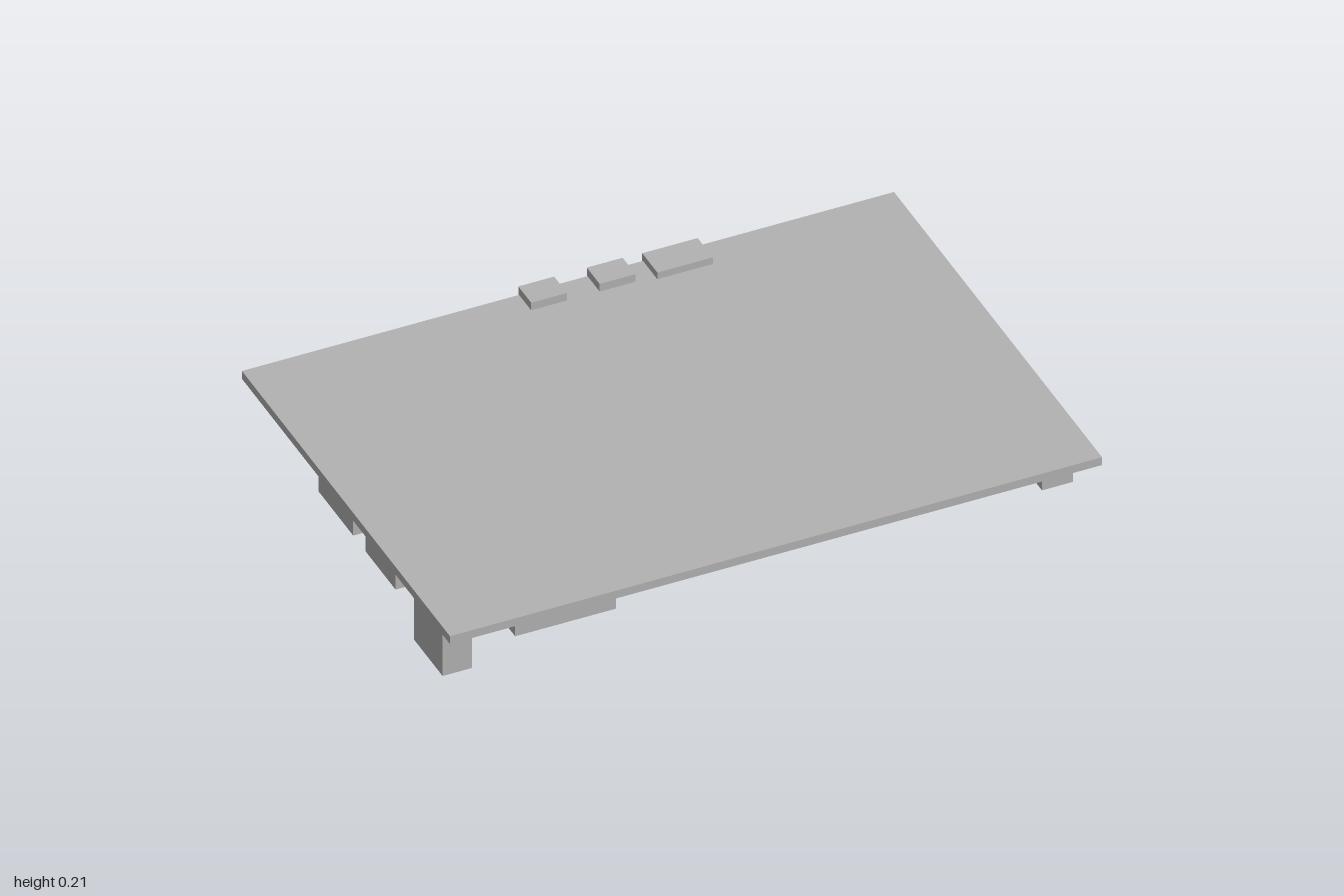
import * as THREE from 'three';

const UNDER = 0.16; // underside of the board

export function createModel() {
  const model = new THREE.Group();
  model.name = 'circuitBoard';
  const grey = new THREE.MeshStandardMaterial({ color: 0xb2b2b2 });
  grey.name = 'plain grey';

  // Box from its x, y and z limits
  const box = (name, x0, x1, y0, y1, z0, z1, parent = model) => {
    const mesh = new THREE.Mesh(new THREE.BoxGeometry(x1 - x0, y1 - y0, z1 - z0), grey);
    mesh.position.set((x0 + x1) / 2, (y0 + y1) / 2, (z0 + z1) / 2);
    mesh.name = name;
    parent.add(mesh);
    return mesh;
  };
  // Part hanging below the board, down to y0
  const hang = (name, x0, x1, y0, z0, z1, parent) => box(name, x0, x1, y0, UNDER, z0, z1, parent);
  const group = (name) => {
    const g = new THREE.Group();
    g.name = name;
    model.add(g);
    return g;
  };

  box('board', -1, 1, UNDER, 0.187, -0.685, 0.69);

  // Sockets through the back edge
  box('backSocketRight', -0.15, -0.04, 0.095, 0.213, -0.69, -0.605);
  box('backSocketMiddle', 0.06, 0.17, 0.095, 0.213, -0.69, -0.605);
  box('backSocketLeft', 0.23, 0.4, 0.092, 0.21, -0.69, -0.59);

  // Tall connector row along the left edge
  const row = group('sideConnectorRow');
  hang('endSocket', 0.89, 0.985, 0, 0.378, 0.53, row);
  [[0.26, 0.372], [0.07, 0.257], [-0.045, 0.068]].forEach(([a, b]) =>
    hang('tallSocket', 0.89, 0.982, 0, a, b, row));
  hang('squareSocket', 0.8, 0.97, 0.05, -0.245, -0.07);

  // Connectors along the right edge
  hang('cornerSocket', -0.99, -0.9, 0, 0.43, 0.62);
  [[-0.19, 0.04], [0.12, 0.32]].forEach(([a, b]) => {
    const g = group('sidePlug');
    hang('plugBody', -0.995, -0.85, 0.1, a, b, g);
    for (let i = 0; i < 4; i++) {
      const z = a + (b - a) * (i + 0.5) / 4;
      hang('plugPin', -0.85, -0.815, 0.14, z - 0.012, z + 0.012, g);
    }
  });

  // Flat modules
  hang('frontModule', -0.8, -0.49, 0.125, 0.38, 0.69);
  hang('cardSlot', -0.955, -0.635, 0.103, -0.55, -0.245);
  hang('cardTray', -0.955, -0.62, 0.137, -0.69, -0.55);

  // Long mezzanine connector with a recessed centre
  const mezz = group('mezzanineConnector');
  hang('mezzanineBase', -0.27, 0.32, 0.145, -0.25, -0.16, mezz);
  hang('mezzanineWall', -0.27, 0.32, 0.12, -0.25, -0.232, mezz);
  hang('mezzanineWall', -0.27, 0.32, 0.12, -0.178, -0.16, mezz);
  hang('mezzanineEnd', -0.29, -0.255, 0.118, -0.255, -0.155, mezz);
  hang('mezzanineEnd', 0.305, 0.335, 0.118, -0.255, -0.155, mezz);

  // Two comb-like pin headers
  [0.85, 0.635].forEach((cx) => {
    const g = group('pinHeader');
    hang('headerBar', cx - 0.09, cx + 0.09, 0.145, -0.545, -0.52, g);
    for (let i = 0; i < 4; i++) {
      const x = cx - 0.072 + i * 0.048;
      box('headerPin', x - 0.009, x + 0.009, 0.135, 0.15, -0.65, -0.52, g);
      hang('headerFoot', x - 0.009, x + 0.009, 0.135, -0.54, -0.525, g);
    }
  });

  // Chips: x, z, width, depth, height
  const chips = [
    [0.46, -0.44, 0.1, 0.09, 0.035], [0.09, 0.41, 0.11, 0.08, 0.035],
    [-0.12, -0.42, 0.06, 0.06, 0.03], [-0.26, -0.56, 0.1, 0.08, 0.035],
    [-0.25, -0.44, 0.1, 0.07, 0.03], [0.77, 0.2, 0.08, 0.08, 0.04],
    [0.61, 0.33, 0.08, 0.08, 0.04], [0.55, 0.13, 0.09, 0.09, 0.04],
    [0.54, -0.06, 0.1, 0.09, 0.045], [0.46, 0.31, 0.08, 0.07, 0.04],
    [0.69, 0.06, 0.08, 0.08, 0.045], [0.7, 0.42, 0.08, 0.08, 0.035],
    [-0.59, 0.14, 0.08, 0.08, 0.035], [-0.62, 0.01, 0.08, 0.08, 0.035],
    [-0.57, 0.29, 0.08, 0.07, 0.03], [-0.72, 0.1, 0.07, 0.08, 0.035],
    [-0.46, 0.02, 0.07, 0.07, 0.03], [-0.7, 0.25, 0.07, 0.07, 0.03],
    [-0.13, 0.24, 0.06, 0.06, 0.03], [-0.19, 0.32, 0.05, 0.07, 0.025],
  ];
  const chipGroup = group('chips');
  chips.forEach(([x, z, w, d, h]) =>
    hang('chip', x - w / 2, x + w / 2, UNDER - h, z - d / 2, z + d / 2, chipGroup));

  // Tiny parts in loose rows: centre x, centre z, columns, rows
  const fields = [
    [0.37, -0.35, 4, 2], [0.33, -0.5, 4, 2], [0.62, 0.22, 5, 3], [0.44, 0.03, 2, 4],
    [-0.4, 0.17, 2, 5], [-0.57, 0.21, 4, 2], [-0.53, -0.08, 4, 2], [-0.39, -0.57, 2, 3],
    [-0.5, -0.6, 2, 2], [-0.1, -0.54, 5, 2], [-0.08, 0.31, 2, 2],
  ];
  let seed = 7;
  const rand = () => (seed = (seed * 16807) % 2147483647) / 2147483647;
  const tiny = group('smallParts');
  fields.forEach(([cx, cz, cols, rows]) => {
    for (let i = 0; i < cols; i++) for (let j = 0; j < rows; j++) {
      const x = cx + (i - (cols - 1) / 2) * 0.06;
      const z = cz + (j - (rows - 1) / 2) * 0.055;
      const turned = rand() > 0.5;
      const w = turned ? 0.012 : 0.02, d = turned ? 0.02 : 0.012;
      hang('smallPart', x - w, x + w, UNDER - 0.01 - rand() * 0.008, z - d, z + d, tiny);
    }
  });

  return model;
}
